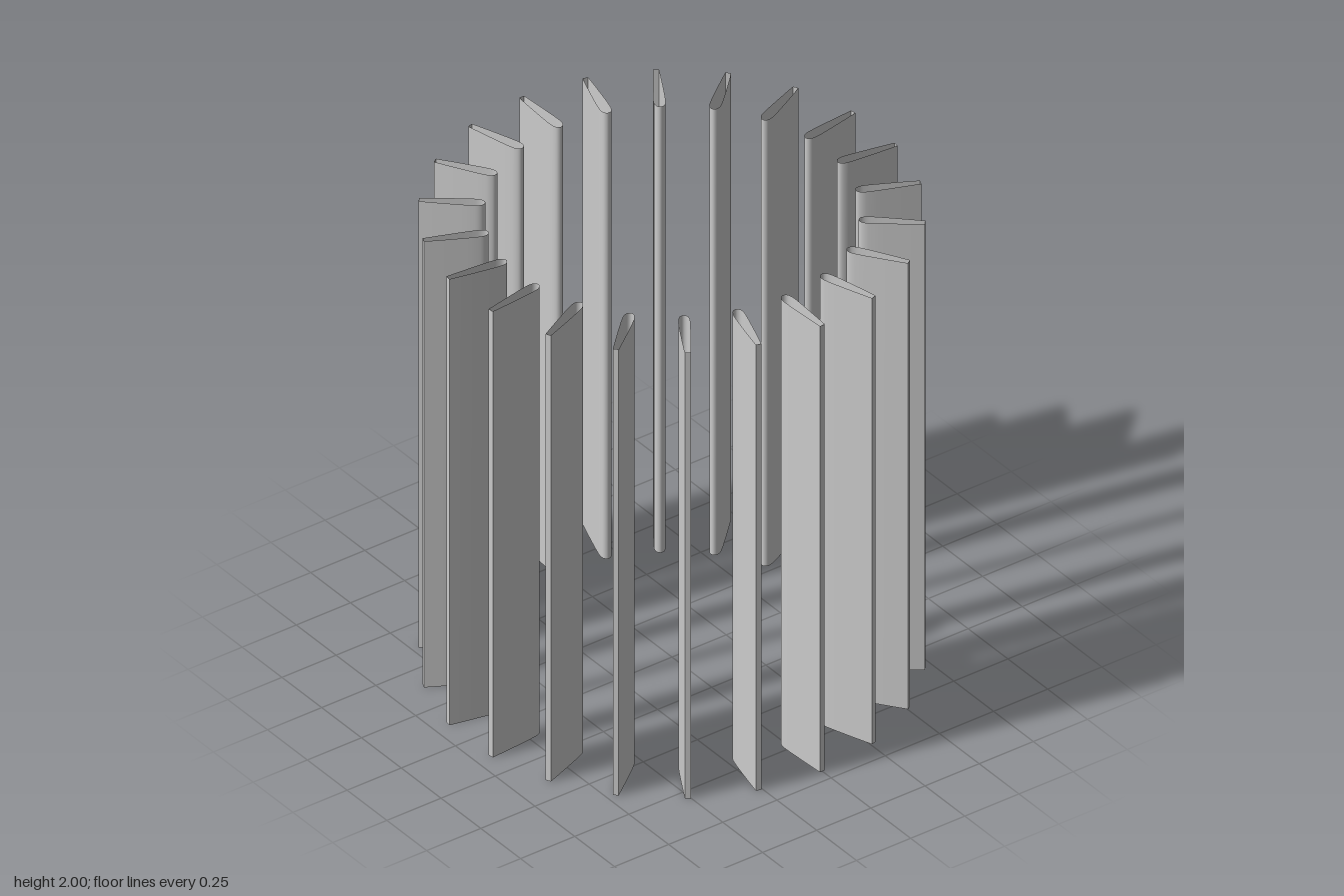
import * as THREE from 'three';

const COUNT = 22, HEIGHT = 2, OUTER = 0.945, TIP = 0.011;

// Half of the vane section: radius from the axis, half thickness
const HALF = [[OUTER, TIP], [0.88, 0.0155], [0.81, 0.0195], [0.75, 0.022], [0.72, 0.0205], [0.703, 0.013]];

// Vane skin: a sheet wrapped from the tip, round the nose and back to the tip
function skinGeometry() {
  const side = (s) => HALF.map(([r, t]) => new THREE.Vector3(r, 0, s * t));
  const path = new THREE.CatmullRomCurve3([
    ...side(-1), new THREE.Vector3(0.697, 0, 0), ...side(1).reverse(),
  ]);
  const segments = 48;
  const geo = new THREE.PlaneGeometry(1, HEIGHT, segments, 1);
  const pos = geo.attributes.position;
  for (let i = 0; i < pos.count; i++) {
    const p = path.getPoint(pos.getX(i) + 0.5);
    pos.setXYZ(i, p.x, pos.getY(i), p.z);
  }
  geo.computeVertexNormals();
  return geo;
}

export function createModel() {
  const group = new THREE.Group();
  group.name = 'vaneRing';
  const material = new THREE.MeshStandardMaterial({ color: 0xcccccc, side: THREE.DoubleSide });

  const skin = skinGeometry();
  // Narrow flat strip closing the outer edge
  const edge = new THREE.PlaneGeometry(TIP * 2, HEIGHT).rotateY(Math.PI / 2).translate(OUTER, 0, 0);

  // Open-ended radial vanes, one pointing straight to the front
  for (let i = 0; i < COUNT; i++) {
    const vane = new THREE.Group();
    vane.name = `vane${i + 1}`;
    const body = new THREE.Mesh(skin, material);
    body.name = 'vaneSkin';
    const strip = new THREE.Mesh(edge, material);
    strip.name = 'vaneOuterEdge';
    vane.add(body, strip);
    vane.position.y = HEIGHT / 2;
    vane.rotation.y = -Math.PI / 2 + (i * 2 * Math.PI) / COUNT;
    group.add(vane);
  }
  return group;
}
